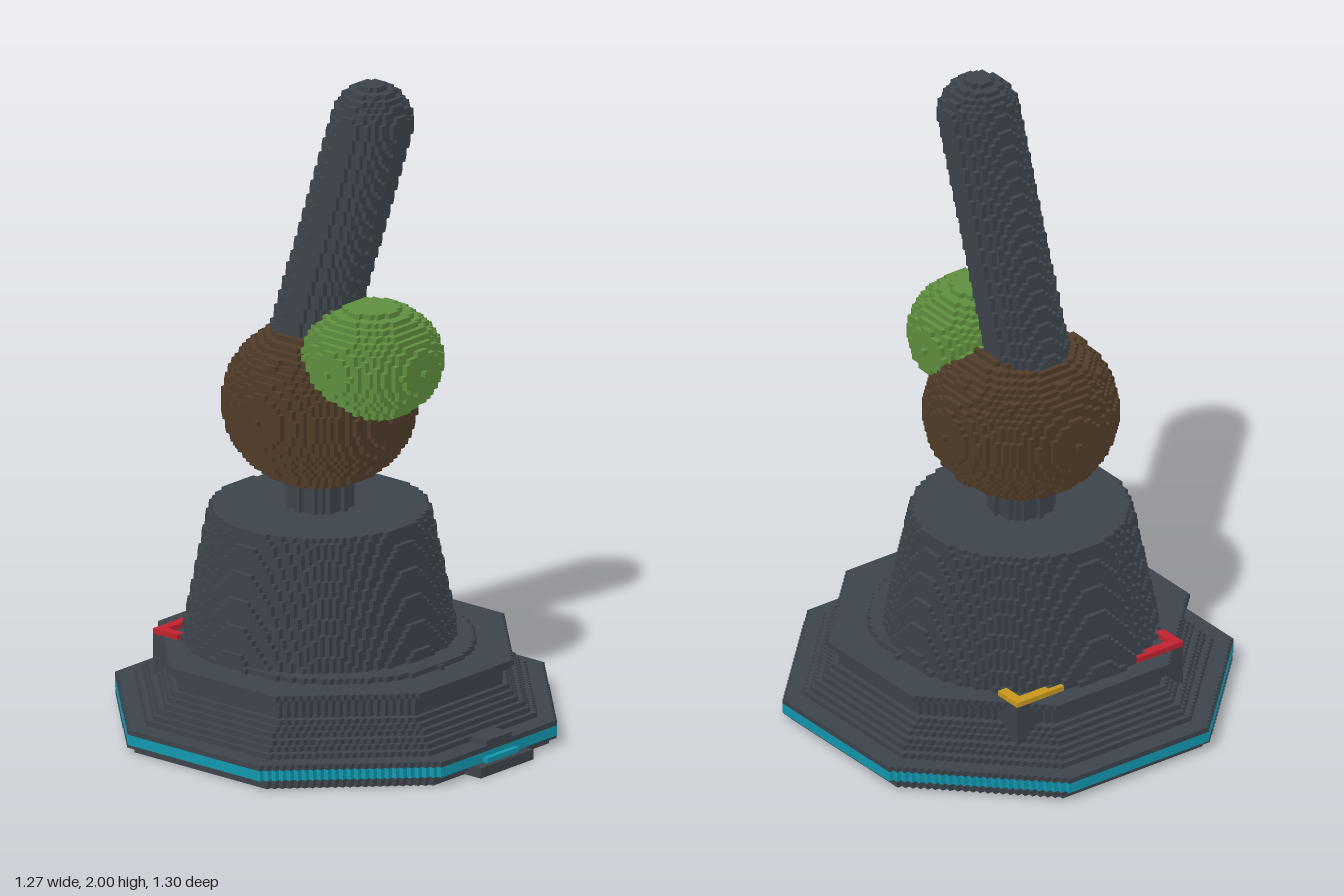
import * as THREE from 'three';

// Voxel joystick on an octagonal base: solids are rules sampled on a lattice.
const V = 2 / 128;            // voxel size
const RX = 42, NY = 128;      // lattice half width and height
const W = RX * 2 + 1;

const material = (name, color) => {
  const m = new THREE.MeshStandardMaterial({ color });
  m.name = name;
  return m;
};

// Solid rules in voxel units: x, y (layer), z
const octagon = (x, z, n) =>
  Math.max(Math.abs(x), Math.abs(z)) <= n && Math.abs(x) + Math.abs(z) <= n * Math.SQRT2 + 0.2;
const disc = (x, z, r) => x * x + z * z <= r * r;
const ellipsoid = (x, y, z, rx, ry) => (x * x + z * z) / (rx * rx) + (y * y) / (ry * ry) <= 1;
const capsule = (x, y, z, a, b, r) => {
  const dy = b[0] - a[0], dz = b[1] - a[1];
  const t = Math.min(1, Math.max(0, ((y - a[0]) * dy + (z - a[1]) * dz) / (dy * dy + dz * dz)));
  return x * x + (y - a[0] - t * dy) ** 2 + (z - a[1] - t * dz) ** 2 <= r * r;
};
const corner = (x, y, z) => {
  const ax = Math.abs(x);
  return y === 16 && ax <= 19 && ax >= 9 && z >= -29 && z <= -24 && (ax >= 18 || z <= -28);
};
const baseWidth = (y) => {
  if (y < 2) return 38.5 + y;
  if (y < 5) return 40;
  if (y === 14) return 31;
  if (y === 15) return 32;
  return Math.max(30, 41 - y);
};

// Emits exposed faces of one part, merging runs of equal faces into strips
function buildGeometry(grid, id) {
  const at = (p) => {
    const [x, y, z] = p;
    if (x < 0 || z < 0 || y < 0 || x >= W || z >= W || y >= NY) return 0;
    return grid[(y * W + z) * W + x];
  };
  const size = [W, NY, W];
  const pos = [], nor = [], idx = [];
  for (let d = 0; d < 3; d++) {
    // strips run along u and are one voxel wide along v
    const u = d === 0 ? 2 : 0, v = 3 - d - u;
    for (const s of [-1, 1]) {
      const normal = [0, 0, 0];
      normal[d] = s;
      const open = (p) => {
        if (at(p) !== id) return false;
        const q = p.slice();
        q[d] += s;
        return at(q) === 0;
      };
      const e = [0, 0, 0];
      e[u] = 1;
      const f = [0, 0, 0];
      f[v] = 1;
      const ccw = new THREE.Vector3(...e).cross(new THREE.Vector3(...f)).getComponent(d) * s > 0;
      for (let a = 0; a < size[d]; a++) for (let b = 0; b < size[v]; b++) {
        for (let c = 0; c < size[u]; c++) {
          const p = [0, 0, 0];
          p[d] = a; p[v] = b; p[u] = c;
          if (!open(p)) continue;
          const start = c;
          do { c++; p[u] = c; } while (c < size[u] && open(p));
          const n = pos.length / 3;
          for (const [cu, cv] of [[start, b], [c, b], [c, b + 1], [start, b + 1]]) {
            const q = [0, 0, 0];
            q[d] = a + (s > 0 ? 1 : 0); q[u] = cu; q[v] = cv;
            pos.push((q[0] - W / 2) * V, q[1] * V, (q[2] - W / 2) * V);
            nor.push(...normal);
          }
          if (ccw) idx.push(n, n + 1, n + 2, n, n + 2, n + 3);
          else idx.push(n, n + 2, n + 1, n, n + 3, n + 2);
        }
      }
    }
  }
  const g = new THREE.BufferGeometry();
  g.setAttribute('position', new THREE.Float32BufferAttribute(pos, 3));
  g.setAttribute('normal', new THREE.Float32BufferAttribute(nor, 3));
  g.setIndex(idx);
  return g;
}

export function createModel() {
  const slate = material('slate', 0x3d444c);
  const brown = material('brown', 0x503c29);
  const green = material('green', 0x5f8f3e);
  const cyan = material('cyan', 0x1199b0);
  const red = material('red', 0xc0222e);
  const yellow = material('yellow', 0xc8981f);

  // Earlier parts win where solids overlap
  const parts = [
    // glowing band around the plinth, with a short piece over the front tab
    ['lightBand', cyan, (x, y, z) => (y === 2 || y === 3) &&
      ((octagon(x, z + 1, 40) && !octagon(x, z + 1, 38)) || (y === 2 && z === 40 && Math.abs(x) <= 4))],
    // leaning shaft with a round tip
    ['shaft', slate, (x, y, z) => y > 66 && capsule(x, y, z, [120, 8], [71, -8.5], 7.4)],
    ['frontBall', green, (x, y, z) => ellipsoid(x, y - 73, z - 8, 13, 10.9)],
    ['mainBall', brown, (x, y, z) => ellipsoid(x, y - 62, z + 5, 18, 16)],
    ['neck', slate, (x, y, z) => y >= 40 && y < 62 && disc(x, z + 5, 6)],
    // tapered pedestal
    ['pedestal', slate, (x, y, z) => y >= 15 && y < 42 &&
      disc(x, z + 5, 25.5 - 5 * (y - 16) / 25)],
    // coloured corner marks on the rear block
    ['rightCornerMark', red, (x, y, z) => x < 0 && corner(x, y, z)],
    ['leftCornerMark', yellow, (x, y, z) => x > 0 && corner(x, y, z)],
    ['pedestalRing', slate, (x, y, z) => y === 16 && disc(x, z + 1, 26)],
    ['rearBlock', slate, (x, y, z) => y >= 5 && y < 16 && Math.abs(x) <= 19 && z >= -29 && z < 0],
    // stem and tab at the front edge
    ['frontStem', slate, (x, y, z) => y === 5 && Math.abs(x) <= 3 && z > 0 && z <= 39],
    ['frontTab', slate, (x, y, z) => y < 2 && Math.abs(x) <= 7 && z > 30 && z <= 41],
    // stepped octagonal plinth with a lip
    ['plinth', slate, (x, y, z) => y < 16 && octagon(x, z + 1, baseWidth(y))],
  ];

  const grid = new Uint8Array(W * W * NY);
  for (let y = 0; y < NY; y++) for (let z = -RX; z <= RX; z++) for (let x = -RX; x <= RX; x++) {
    grid[(y * W + z + RX) * W + x + RX] = parts.findIndex(([, , inside]) => inside(x, y, z)) + 1;
  }

  const group = new THREE.Group();
  group.name = 'joystick';
  parts.forEach(([name, mat], i) => {
    const mesh = new THREE.Mesh(buildGeometry(grid, i + 1), mat);
    mesh.name = name;
    group.add(mesh);
  });
  return group;
}
